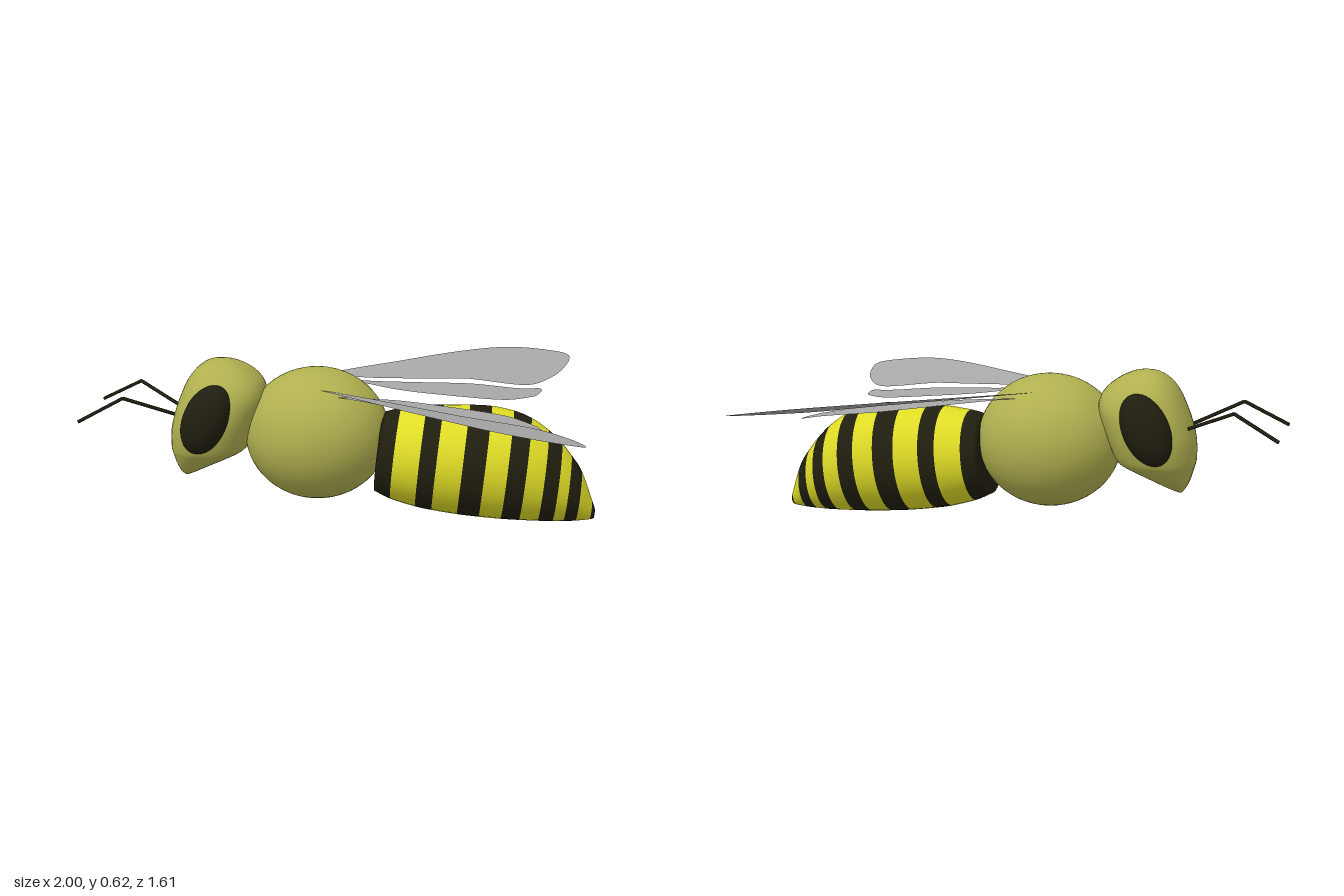
import * as THREE from 'three';

const mat = (name, color, extra = {}) => {
  const m = new THREE.MeshStandardMaterial({ color, ...extra });
  m.name = name;
  return m;
};

// Smoothly interpolates rows of four numbers; every row gets `sub` steps.
function smoothRows(rows, sub) {
  const a = new THREE.CatmullRomCurve3(rows.map(r => new THREE.Vector3(r[0], r[1], r[2])), false, 'catmullrom');
  const b = new THREE.CatmullRomCurve3(rows.map(r => new THREE.Vector3(r[3], 0, 0)), false, 'catmullrom');
  const n = (rows.length - 1) * sub;
  return Array.from({ length: n + 1 }, (_, i) => [...a.getPoint(i / n).toArray(), b.getPoint(i / n).x]);
}

// Skins closed rings of points; groupOf picks the material for each step.
function loft(rings, groupOf = () => 0) {
  const n = rings[0].length, index = [];
  const geo = new THREE.BufferGeometry();
  for (let i = 0; i < rings.length - 1; i++) {
    geo.addGroup(index.length, n * 6, groupOf(i));
    for (let j = 0; j < n; j++) {
      const k = (j + 1) % n;
      const a = i * n + j, b = i * n + k, c = a + n, d = b + n;
      index.push(a, b, c, b, d, c);
    }
  }
  geo.setAttribute('position', new THREE.Float32BufferAttribute(rings.flat(2), 3));
  geo.setIndex(index);
  geo.computeVertexNormals();
  return geo;
}

const around = (n, fn) => Array.from({ length: n }, (_, j) => fn(j / n * Math.PI * 2));
const power = (v, e) => Math.sign(v) * Math.abs(v) ** e;

export function createModel() {
  const bee = new THREE.Group();
  bee.name = 'bee';
  const olive = mat('olive body', 0xb0b050);
  const yellow = mat('yellow stripe', 0xdedb26);
  const black = mat('dark stripe', 0x201e0f);
  const grey = mat('grey wing', 0xa8a8a8, { side: THREE.DoubleSide });
  const add = (name, geo, material) => {
    const mesh = new THREE.Mesh(geo, material);
    mesh.name = name;
    bee.add(mesh);
    return mesh;
  };

  // Thorax
  const thorax = add('thorax', new THREE.SphereGeometry(1, 40, 28), olive);
  thorax.scale.set(0.283, 0.26, 0.257);
  thorax.position.set(-0.09, 0.33, 0);

  // Abdomen: x, top, bottom, half width at each stripe edge
  const SUB = 4;
  const abdomenRows = [
    [0.155, 0.415, 0.105, 0.165], [0.22, 0.432, 0.075, 0.185], [0.32, 0.445, 0.047, 0.202],
    [0.385, 0.449, 0.035, 0.208], [0.485, 0.451, 0.021, 0.212], [0.57, 0.448, 0.013, 0.212],
    [0.655, 0.432, 0.007, 0.205], [0.725, 0.405, 0.004, 0.192], [0.795, 0.359, 0.002, 0.169],
    [0.85, 0.309, 0.001, 0.144], [0.89, 0.262, 0.002, 0.122], [0.935, 0.2, 0.004, 0.093],
    [0.985, 0.085, 0.009, 0.037], [0.999, 0.05, 0.014, 0.016],
  ];
  const abdomenRings = smoothRows(abdomenRows, SUB).map(([x, top, bottom, w]) => around(40, t => {
    const dy = (top - bottom) / 2 * Math.cos(t);
    return [x + 0.1 * dy, (top + bottom) / 2 + dy, w * Math.sin(t)];
  }));
  abdomenRings.unshift(around(40, () => [0.155, 0.26, 0]));
  abdomenRings.push(around(40, () => [1, 0.032, 0]));
  const lastBand = abdomenRows.length - 2;
  const band = i => Math.min(lastBand, Math.floor(Math.max(0, i - 1) / SUB));
  add('abdomen', loft(abdomenRings, i => band(i) % 2), [black, yellow]);

  // Head: height, front x, back x, half width, tapering down to the mouth
  const headRows = [
    [0.62, -0.475, -0.465, 0.005], [0.61, -0.52, -0.415, 0.06], [0.58, -0.564, -0.355, 0.12],
    [0.535, -0.598, -0.308, 0.163], [0.48, -0.623, -0.292, 0.19], [0.42, -0.645, -0.307, 0.202],
    [0.35, -0.662, -0.332, 0.2], [0.28, -0.665, -0.36, 0.18], [0.25, -0.66, -0.395, 0.162],
    [0.2, -0.645, -0.5, 0.112], [0.17, -0.632, -0.56, 0.07], [0.15, -0.618, -0.6, 0.025],
  ];
  const headRings = smoothRows(headRows, 3).map(([y, front, back, w]) => around(40, t => [
    (front + back) / 2 + (back - front) / 2 * power(Math.cos(t), 0.8), y, w * power(Math.sin(t), 0.8),
  ]));
  headRings.unshift(around(40, () => [-0.47, 0.621, 0]));
  headRings.push(around(40, () => [-0.609, 0.148, 0]));
  add('head', loft(headRings), olive);

  // Wing outlines as x and distance from the middle
  const foreOutline = [
    [-0.06, 0.16], [0.03, 0.25], [0.2, 0.405], [0.4, 0.59], [0.58, 0.73], [0.7, 0.787], [0.8, 0.805],
    [0.885, 0.803], [0.913, 0.77], [0.905, 0.69], [0.87, 0.57], [0.82, 0.465], [0.77, 0.39],
    [0.72, 0.352], [0.65, 0.338], [0.5, 0.328], [0.42, 0.3], [0.3, 0.25], [0.12, 0.18], [0, 0.155],
  ];
  const hindOutline = [
    [-0.04, 0.155], [0.12, 0.19], [0.3, 0.26], [0.5, 0.34], [0.65, 0.35], [0.73, 0.365], [0.775, 0.398],
    [0.79, 0.37], [0.768, 0.27], [0.74, 0.225], [0.67, 0.15], [0.6, 0.118], [0.5, 0.102], [0.4, 0.093],
    [0.3, 0.086], [0.2, 0.096], [0.1, 0.13],
  ];
  const wing = (name, outline, side, height) => {
    const [first, ...rest] = outline.map(p => new THREE.Vector2(...p));
    const shape = new THREE.Shape().moveTo(first.x, first.y);
    shape.splineThru([...rest, first]);
    const geo = new THREE.ShapeGeometry(shape, 4);
    const pos = geo.attributes.position;
    for (let i = 0; i < pos.count; i++) {
      const x = pos.getX(i), z = pos.getY(i);
      pos.setXYZ(i, x, height(x, z), side * z);
    }
    geo.computeVertexNormals();
    add(name, geo, grey);
  };

  // Antenna segment between two points
  const rod = (name, from, to) => {
    const a = new THREE.Vector3(...from), b = new THREE.Vector3(...to);
    const mesh = add(name, new THREE.CylinderGeometry(0.007, 0.007, a.distanceTo(b), 8), black);
    mesh.position.copy(a).lerp(b, 0.5);
    mesh.quaternion.setFromUnitVectors(new THREE.Vector3(0, 1, 0), b.sub(a).normalize());
  };

  // Paired parts
  for (const [label, side, tip] of [['left', 1, 0.192], ['right', -1, 0.214]]) {
    wing(label + 'Forewing', foreOutline, side, (x, z) => 0.502 - 0.134 * x + 0.157 * z);
    wing(label + 'Hindwing', hindOutline, side, (x, z) => 0.508 - 0.097 * x + 0.015 * z);

    const eye = add(label + 'Eye', new THREE.SphereGeometry(1, 32, 20), black);
    eye.scale.set(0.09, 0.144, 0.075);
    eye.position.set(-0.5, 0.41, side * 0.168);
    eye.rotation.z = -0.43;

    const elbow = [-0.827, 0.485, side * 0.159];
    rod(label + 'AntennaBase', [-0.62, 0.395, side * 0.055], elbow);
    rod(label + 'AntennaTip', elbow, [-0.998, 0.395, side * tip]);
  }
  return bee;
}
